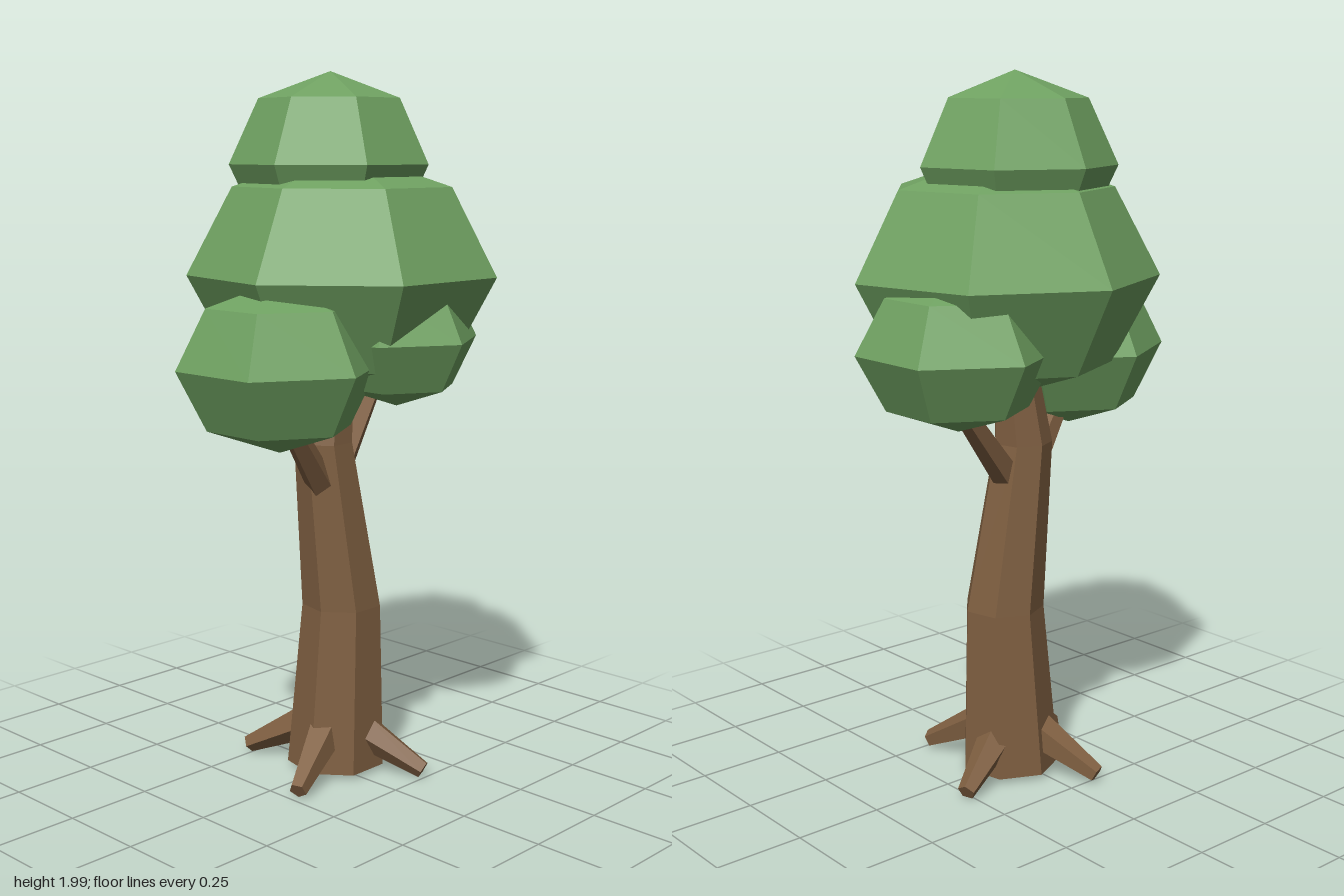
import * as THREE from 'three';

const bark = new THREE.MeshStandardMaterial({ color: 0x7f5f41, flatShading: true });
bark.name = 'bark';
const leaf = new THREE.MeshStandardMaterial({ color: 0x6fa161, flatShading: true });
leaf.name = 'leaf';

// Bent, tapering trunk: a cylinder whose rings follow [x, y, z, radius], bottom first
function trunkGeometry(rings) {
  const n = rings.length - 1;
  const geo = new THREE.CylinderGeometry(1, 1, 1, 7, n, false, Math.PI);
  const p = geo.attributes.position;
  for (let i = 0; i < p.count; i++) {
    const [x, y, z, r] = rings[Math.round((p.getY(i) + 0.5) * n)];
    p.setXYZ(i, x + p.getX(i) * r, y, z + p.getZ(i) * r);
  }
  geo.computeVertexNormals();
  return geo;
}

// Tapered five-sided limb between two points
function limb(name, from, to, r0, r1) {
  const a = new THREE.Vector3(...from);
  const b = new THREE.Vector3(...to);
  const dir = b.clone().sub(a);
  const mesh = new THREE.Mesh(new THREE.CylinderGeometry(r1, r0, dir.length(), 5), bark);
  mesh.position.copy(a).add(b).multiplyScalar(0.5);
  mesh.quaternion.setFromUnitVectors(new THREE.Vector3(0, 1, 0), dir.normalize());
  mesh.name = name;
  return mesh;
}

// Faceted foliage clump, one corner facing the back
function clump(name, [x, y, z], radius, height, sides) {
  const geo = new THREE.SphereGeometry(1, sides, 4);
  geo.rotateY(-Math.PI / 2);
  geo.scale(radius, height, radius);
  const mesh = new THREE.Mesh(geo, leaf);
  mesh.position.set(x, y, z);
  mesh.name = name;
  return mesh;
}

export function createModel() {
  const tree = new THREE.Group();
  tree.name = 'tree';

  const trunk = new THREE.Mesh(trunkGeometry([
    [0.028, 0.025, -0.01, 0.143],
    [0.041, 0.5, 0.0, 0.115],
    [-0.013, 0.98, -0.02, 0.084],
    [0.03, 1.35, -0.01, 0.05],
  ]), bark);
  trunk.name = 'trunk';
  tree.add(trunk);

  // Four roots spread around the foot
  for (let i = 0; i < 4; i++) {
    const a = 0.39 + i * Math.PI / 2;
    const at = (r, y) => [0.02 + Math.sin(a) * r, y, -0.01 + Math.cos(a) * r];
    tree.add(limb('root', at(0.06, 0.145), at(0.275, 0.033), 0.058, 0.026));
  }

  // Side branches reaching into the clumps
  tree.add(limb('rightBranch', [-0.03, 0.84, 0.0], [-0.24, 1.1, 0.05], 0.045, 0.028));
  tree.add(limb('leftBranch', [0.03, 0.87, -0.02], [0.27, 1.15, -0.07], 0.045, 0.028));

  // Crown tiers and side clumps
  tree.add(clump('lowerCrown', [0.035, 1.45, 0.01], 0.435, 0.34, 7));
  tree.add(clump('upperCrown', [0.022, 1.75, -0.028], 0.28, 0.25, 7));
  tree.add(clump('rightClump', [-0.257, 1.22, 0.055], 0.28, 0.23, 6));
  tree.add(clump('leftClump', [0.265, 1.27, -0.08], 0.272, 0.212, 6));
  tree.add(clump('frontClump', [0.053, 1.285, 0.195], 0.23, 0.187, 6));

  return tree;
}
